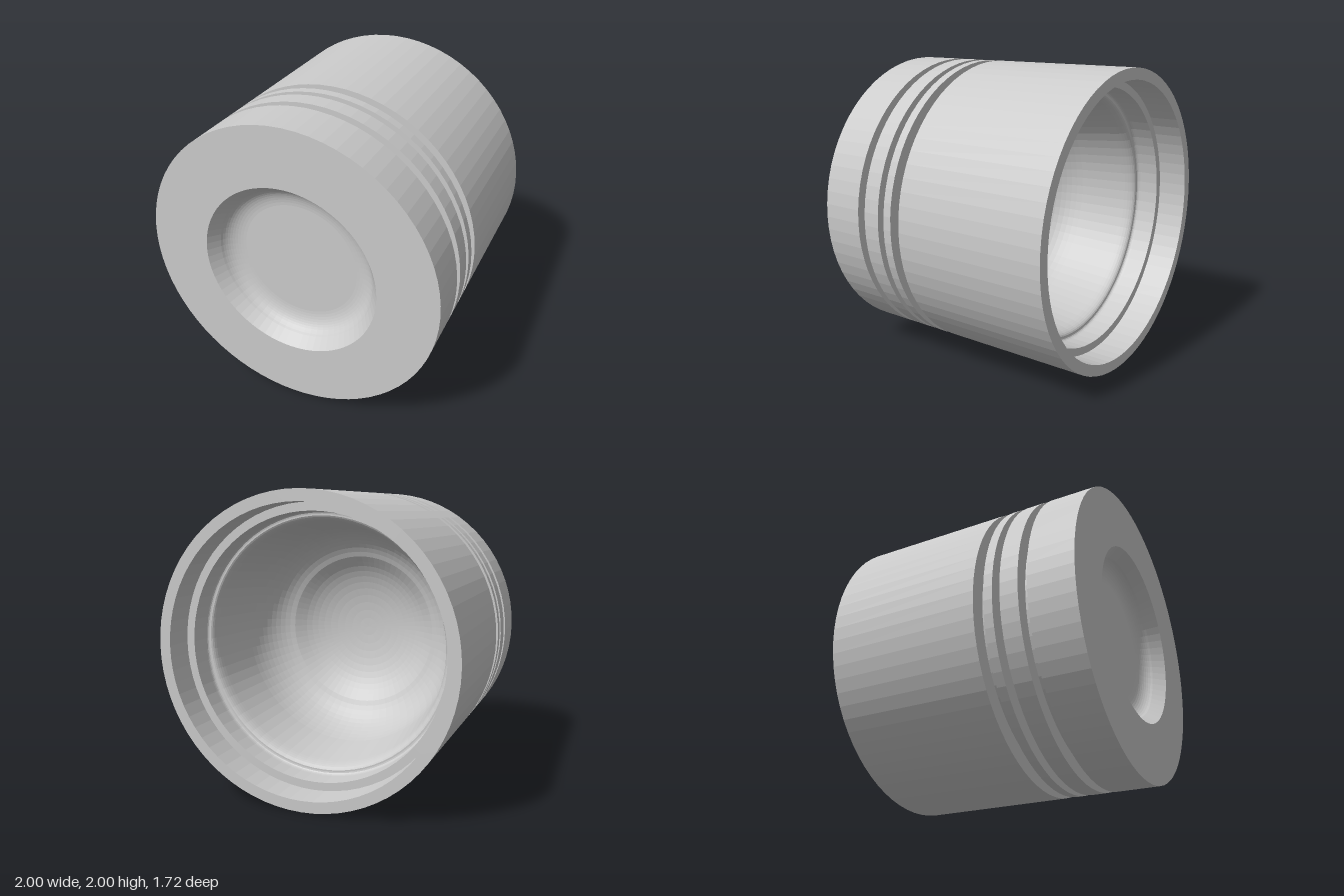
import * as THREE from 'three';

const SEGMENTS = 72;
const HALF = 0.86;

// Turns a profile of [radius, z] pairs around the z axis
function turned(name, profile) {
  const points = profile.map(([r, z]) => new THREE.Vector2(r, z));
  const geometry = new THREE.LatheGeometry(points, SEGMENTS);
  geometry.rotateX(Math.PI / 2);
  const material = new THREE.MeshStandardMaterial({ color: 0xcccccc, flatShading: true });
  const mesh = new THREE.Mesh(geometry, material);
  mesh.name = name;
  return mesh;
}

// Smooth rounded run of profile points from a to b, bending around corner c
function bend(a, c, b, steps = 8) {
  const curve = new THREE.QuadraticBezierCurve(
    new THREE.Vector2(...a), new THREE.Vector2(...c), new THREE.Vector2(...b));
  return curve.getPoints(steps).map((p) => [p.x, p.y]);
}

export function createModel() {
  const piston = new THREE.Group();
  piston.name = 'piston';
  const body = new THREE.Group();
  body.name = 'pistonBody';
  body.position.y = 1;
  piston.add(body);

  // Outer wall with three ring grooves: [back z, front z, groove radius]
  const grooves = [[0.2, 0.27, 0.89], [0.33, 0.38, 0.895], [0.5, 0.56, 0.905]];
  const wall = [[1, -HALF]];
  for (const [z0, z1, r] of grooves) wall.push([1, z0], [r, z0], [r, z1], [1, z1]);
  wall.push([1, HALF]);
  body.add(turned('outerWall', wall));

  // Flat crown around the bowl
  body.add(turned('crown', [[1, HALF], [0.6, HALF]]));

  // Combustion bowl: tapered side, rounded into a flat floor
  body.add(turned('crownBowl', [
    [0.6, HALF],
    ...bend([0.545, 0.78], [0.51, 0.705], [0.4, 0.7], 10),
    [0, 0.7],
  ]));

  // Hollow underside: domed roof, rounded shoulder, tapered wall and a small ledge
  body.add(turned('innerCavity', [
    ...bend([0, 0.38], [0.34, 0.38], [0.5, 0.25], 10),
    ...bend([0.54, 0.22], [0.72, 0.15], [0.76, -0.08], 10),
    ...bend([0.8, -0.4], [0.81, -0.49], [0.84, -0.5], 6),
    ...bend([0.85, -0.5], [0.87, -0.5], [0.87, -0.53], 4),
    [0.87, -0.66],
  ]));

  // Stepped recess and rim at the open end
  body.add(turned('skirtRim', [[0.87, -0.66], [0.925, -0.66], [0.925, -HALF], [1, -HALF]]));

  return piston;
}
